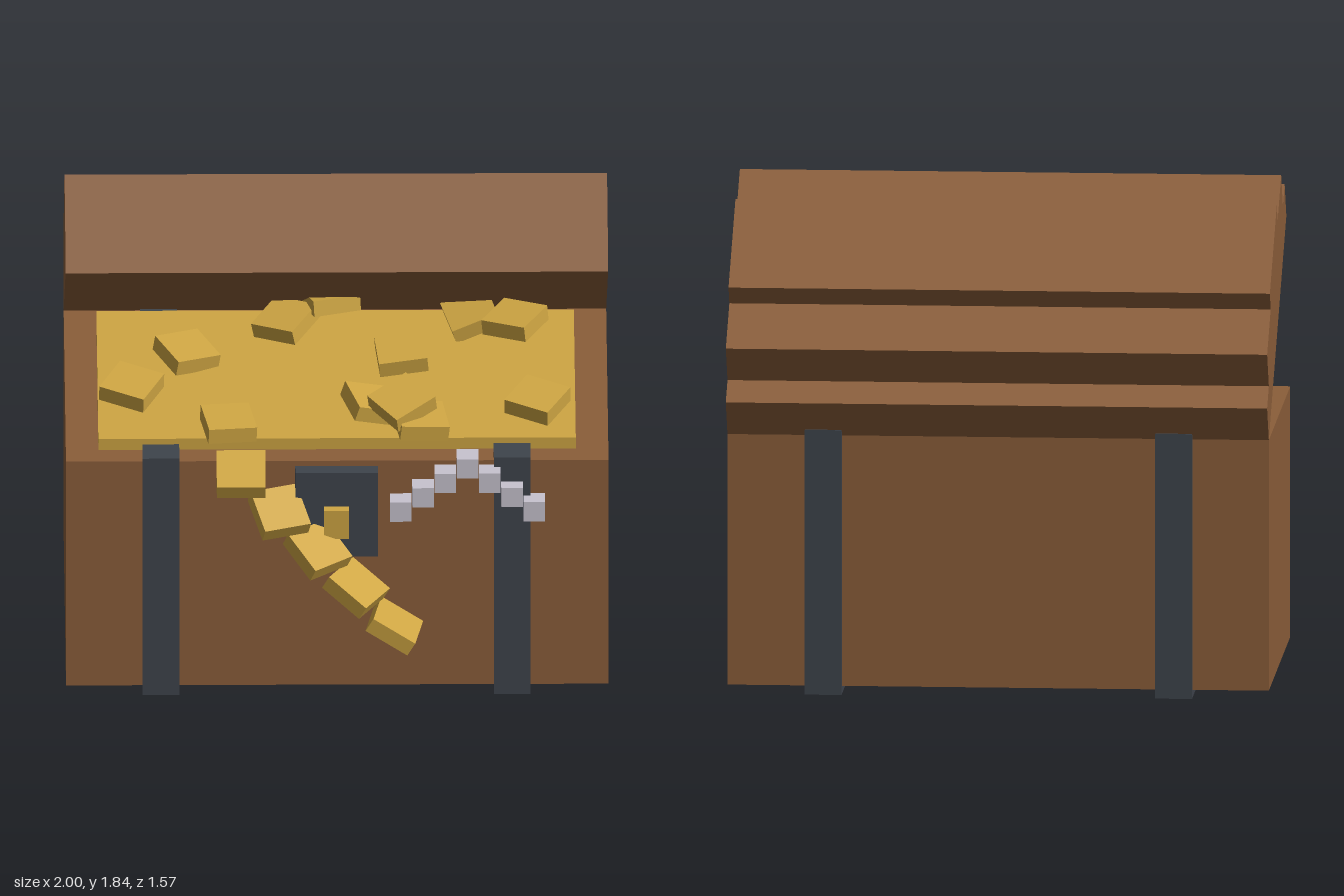
import * as THREE from 'three';

const mat = (name, color) => {
  const m = new THREE.MeshStandardMaterial({ color });
  m.name = name;
  return m;
};

export function createModel() {
  const wood = mat('brown wood', 0x8b5e3a);
  const iron = mat('dark iron', 0x3e444c);
  const gold = mat('gold', 0xcfa643);
  const silver = mat('silver', 0xc8c3cf);

  const chest = new THREE.Group();
  chest.name = 'treasureChest';

  // Box given by its min and max along each axis
  const box = (parent, name, material, [x0, x1], [y0, y1], [z0, z1]) => {
    const mesh = new THREE.Mesh(new THREE.BoxGeometry(x1 - x0, y1 - y0, z1 - z0), material);
    mesh.position.set((x0 + x1) / 2, (y0 + y1) / 2, (z0 + z1) / 2);
    mesh.name = name;
    parent.add(mesh);
    return mesh;
  };

  // Body, straps and the bed of gold
  box(chest, 'body', wood, [-1, 1], [0.03, 0.967], [-0.69, 0.485]);
  for (const [side, x] of [['right', -0.65], ['left', 0.645]]) {
    box(chest, side + 'Strap', iron, [x - 0.068, x + 0.068], [0, 0.99], [-0.715, 0.507]);
  }
  box(chest, 'goldBed', gold, [-0.88, 0.88], [0.95, 1.013], [-0.6, 0.395]);

  // Lock
  box(chest, 'lockPlate', iron, [-0.155, 0.15], [0.595, 0.945], [0.48, 0.54]);
  box(chest, 'lockClasp', gold, [-0.05, 0.042], [0.688, 0.805], [0.53, 0.575]);

  // Stepped lid, swung open about the rear edge
  const lid = new THREE.Group();
  lid.name = 'lid';
  lid.position.set(0, 0.967, -0.69);
  lid.rotation.x = -THREE.MathUtils.degToRad(35);
  chest.add(lid);
  box(lid, 'lidLower', wood, [-1, 1], [0, 0.164], [0, 1.175]);
  box(lid, 'lidMiddle', wood, [-1, 1], [0.164, 0.327], [0.117, 1.058]);
  box(lid, 'lidTop', wood, [-1, 1], [0.327, 0.408], [0.355, 0.82]);

  // String of silver beads draped over the front
  const beads = new THREE.Group();
  beads.name = 'silverNecklace';
  chest.add(beads);
  for (let i = -3; i <= 3; i++) {
    const x = 0.48 + i * 0.082, y = 0.97 - Math.abs(i) * 0.06;
    box(beads, 'bead', silver, [x - 0.04, x + 0.04], [y - 0.04, y + 0.04], [0.478, 0.558]);
  }

  // Square gold pieces: position, then pitch, yaw and roll
  const pieceShape = new THREE.BoxGeometry(0.18, 0.06, 0.18);
  const piece = (parent, name, x, y, z, pitch, yaw, roll) => {
    const mesh = new THREE.Mesh(pieceShape, gold);
    mesh.name = name;
    mesh.position.set(x, y, z);
    mesh.rotation.set(pitch, yaw, roll, 'YXZ');
    parent.add(mesh);
  };

  // Pieces spilling down the front, turning as they fall
  const spill = new THREE.Group();
  spill.name = 'spillingGold';
  chest.add(spill);
  for (let i = 0; i < 5; i++) {
    piece(spill, 'fallingPiece', -0.355 + i * 0.141, 0.942 - i * 0.14, 0.54 + i * 0.036,
      i ? 0.52 : 0.38, i * 0.35, 0);
  }

  // Pieces lying on the bed
  const heap = new THREE.Group();
  heap.name = 'looseGold';
  chest.add(heap);
  [
    [-0.755, 1.065, 0.086, 0.12, -0.45, -0.08],
    [-0.55, 1.055, -0.2, 0.15, 0.5, -0.1],
    [-0.4, 1.075, 0.39, 0.06, 0.17, -0.04],
    [-0.185, 1.1, -0.36, 0.2, -0.55, 0.1],
    [-0.02, 1.15, -0.43, -0.2, 0.3, 0],
    [0.13, 1.085, 0.26, 0.1, 0.3, -0.3],
    [0.24, 1.11, -0.085, 0.15, 0.1, 0.1],
    [0.24, 1.15, 0.37, 0.15, 0.65, 0.25],
    [0.31, 1.085, 0.395, 0.08, 0.15, -0.1],
    [0.5, 1.075, -0.45, 0.15, 0.25, 0.33],
    [0.66, 1.18, -0.21, 0.05, -0.5, 0.08],
    [0.74, 1.07, 0.21, 0.12, -0.5, -0.05],
  ].forEach((p) => piece(heap, 'loosePiece', ...p));

  return chest;
}
